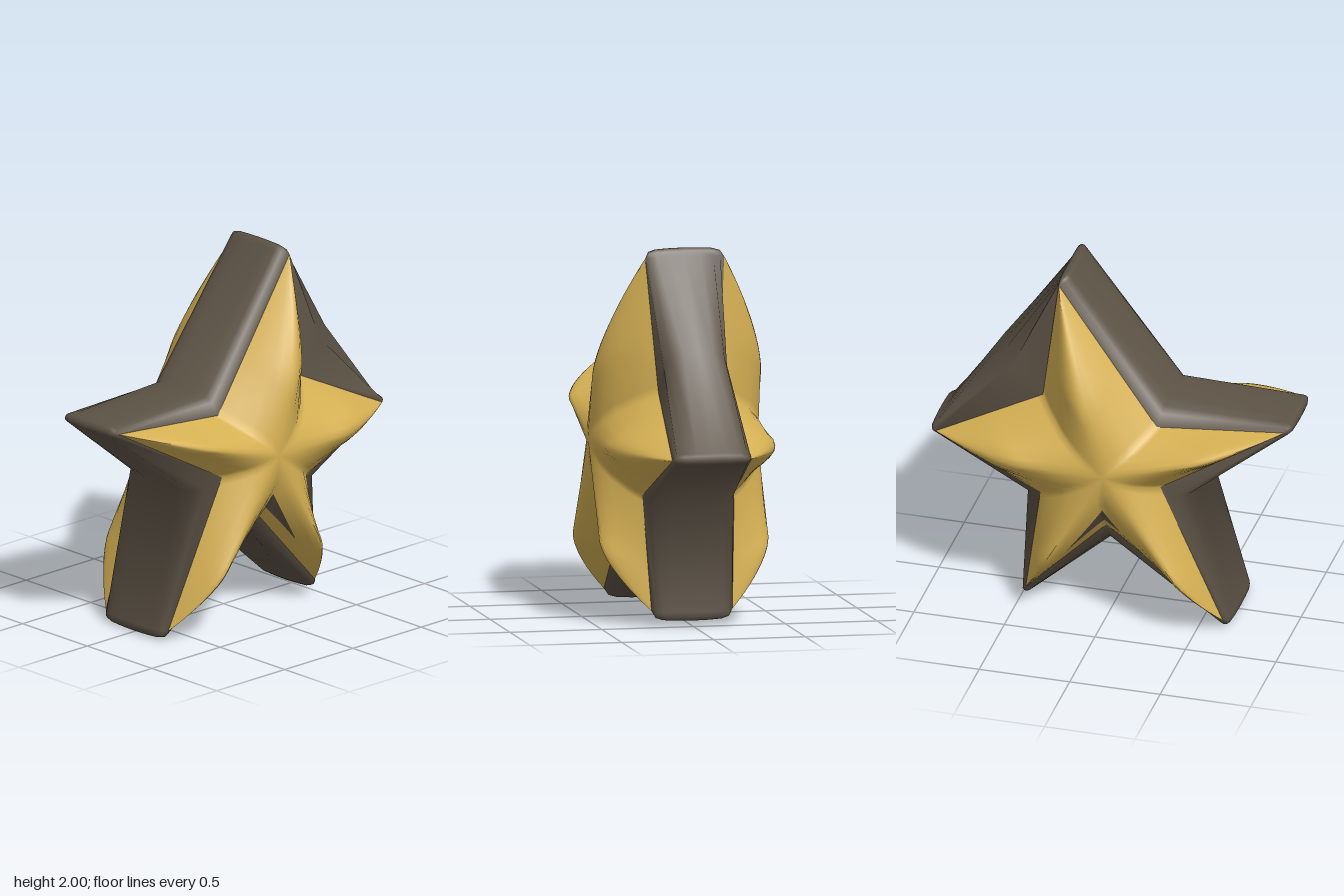
import * as THREE from 'three';
import { toCreasedNormals } from 'three/addons/utils/BufferGeometryUtils.js';

// Arm tips, in order round the star: rim point (z, y), face corner (z, y, x), where the ridge starts to fall
const tips = [
  { rim: [-0.26, 2.0], face: [-0.28, 1.95, 0.215], flat: 0.35 },
  { rim: [1.0, 1.24], face: [0.965, 1.23, 0.205], flat: 0.5 },
  { rim: [0.655, 0.0], face: [0.635, 0.05, 0.24], flat: 0.62 },
  { rim: [-0.48, 0.025], face: [-0.46, 0.08, 0.22], flat: 0.6 },
  { rim: [-1.0, 0.96], face: [-0.96, 0.955, 0.215], flat: 0.45 },
];
// Notches, each after the tip of the same index; the last one is webbed over at the rim and keeps its width there
const notches = [
  { rim: [0.3, 1.29], face: [0.27, 1.18, 0.24] },
  { rim: [0.46, 0.78], face: [0.31, 0.86, 0.315] },
  { rim: [0.01, 0.44], face: [0.0, 0.56, 0.27] },
  { rim: [-0.47, 0.66], face: [-0.37, 0.69, 0.25] },
  { rim: [-0.635, 1.49], face: [-0.38, 1.24, 0.165], rimX: 0.205 },
];
const CENTRE = [0.03, 0.95];
const RIDGE = 0.46;
const lerp = THREE.MathUtils.lerp;

function finish(positions) {
  const geometry = new THREE.BufferGeometry();
  geometry.setAttribute('position', new THREE.Float32BufferAttribute(positions, 3));
  return toCreasedNormals(geometry, 1.4);
}

function pushQuad(out, a, b, c, d, flip) {
  const order = flip ? [a, c, b, a, d, c] : [a, b, c, a, c, d];
  order.forEach((p) => out.push(p.x, p.y, p.z));
}

// Rim loop, counterclockwise seen from +x, with a blunt end of five points on every tip
function rimLoop() {
  const blunt = [[0.035, 0.035], [0.022, 0.009], [0, 0], [-0.022, 0.009], [-0.035, 0.035]];
  return tips.flatMap((tip, i) => {
    const u = new THREE.Vector2(tip.rim[0] - CENTRE[0], tip.rim[1] - CENTRE[1]).normalize();
    const end = blunt.map(([side, back]) => ({
      rim: [tip.rim[0] - u.x * back - u.y * side, tip.rim[1] - u.y * back + u.x * side],
      face: tip.face,
    }));
    return [...end, notches[i]];
  });
}

// Dark body: rim band lofted across the thickness and tucked in to the face borders
function bodyGeometry() {
  const loop = rimLoop();
  const half = [[0.4, 0.04], [0.72, 0.12], [0.9, 0.35], [1, 1]];
  const sections = [...half.map(([a, t]) => [-a, t]).reverse(), [0, 0], ...half];
  const at = ({ rim, face, rimX = face[2] }, [across, tuck]) => new THREE.Vector3(
    lerp(rimX, face[2], tuck) * across, lerp(rim[1], face[1], tuck), lerp(rim[0], face[0], tuck));
  const out = [];
  for (let s = 0; s + 1 < sections.length; s++) {
    loop.forEach((p, i) => {
      const q = loop[(i + 1) % loop.length];
      pushQuad(out, at(p, sections[s]), at(q, sections[s]), at(q, sections[s + 1]), at(p, sections[s + 1]));
    });
  }
  return finish(out);
}

// One star face: every arm is two bulging panels between its ridge and its border
function faceGeometries(sign) {
  const gold = [], dark = [];
  const steps = 20;
  tips.forEach((tip, i) => {
    const ridgeAt = (t) => {
      const u = Math.max(0, (t - tip.flat) / (1 - tip.flat));
      return [lerp(CENTRE[0], tip.face[0], t), lerp(CENTRE[1], tip.face[1], t),
        lerp(RIDGE, tip.face[2], u ** 1.5)];
    };
    [notches[i], notches[(i + 4) % 5]].forEach((notch, side) => {
      // recess chevron above the bottom notch, tapering along both arms
      const recess = notch === notches[2] ? (side === 0 ? 0.15 : 0.45) : 0;
      const rungs = (t) => {
        const f = recess ? Math.min(1, t / recess) : 0;
        return [0, 0.2, 0.42, lerp(0.6, 0.72, f), lerp(0.84, 0.74, f), 0.92, 1];
      };
      const point = (t, r) => {
        const s = rungs(t)[r];
        const edge = notch.face.map((v, k) => lerp(v, tip.face[k], t));
        const ridge = ridgeAt(t);
        return new THREE.Vector3(
          sign * lerp(ridge[2], edge[2], s ** lerp(2.2, 1.2, t)),
          lerp(ridge[1], edge[1], s), lerp(ridge[0], edge[0], s));
      };
      for (let k = 0; k < steps; k++) {
        const t0 = k / steps, t1 = (k + 1) / steps;
        for (let r = 0; r < 6; r++) {
          const target = r === 3 && t1 <= recess + 1e-6 ? dark : gold;
          pushQuad(target, point(t0, r), point(t1, r), point(t1, r + 1), point(t0, r + 1),
            (side === 1) !== (sign < 0));
        }
      }
    });
  });
  return { gold: finish(gold), dark: finish(dark) };
}

export function createModel() {
  const goldMaterial = new THREE.MeshStandardMaterial({ color: 0xd6b154 });
  goldMaterial.name = 'gold';
  const darkMaterial = new THREE.MeshStandardMaterial({ color: 0x5c5245 });
  darkMaterial.name = 'dark brown';

  const model = new THREE.Group();
  model.name = 'star';
  const add = (name, geometry, material) => {
    const mesh = new THREE.Mesh(geometry, material);
    mesh.name = name;
    model.add(mesh);
  };

  add('rimBody', bodyGeometry(), darkMaterial);
  for (const [side, sign] of [['left', 1], ['right', -1]]) {
    const { gold, dark } = faceGeometries(sign);
    add(side + 'Face', gold, goldMaterial);
    add(side + 'Chevron', dark, darkMaterial);
  }
  return model;
}
